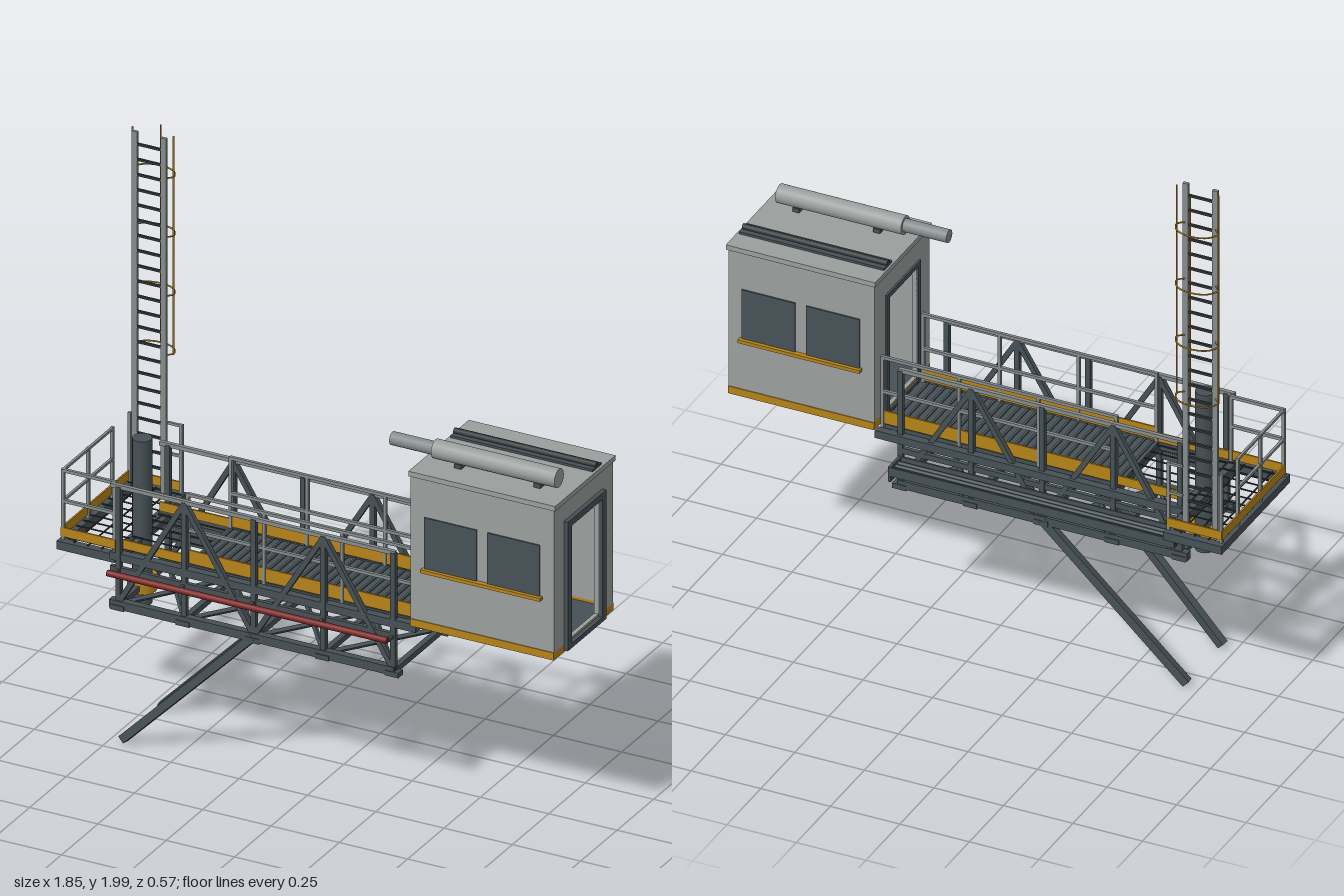
import * as THREE from 'three';

const mat = (name, color) => {
  const m = new THREE.MeshStandardMaterial({ color });
  m.name = name;
  return m;
};

export function createModel() {
  const root = new THREE.Group();
  root.name = 'accessGantry';
  const steel = mat('dark steel', 0x465055);
  const grey = mat('cabin grey', 0x9a9f9d);
  const railGrey = mat('galvanised rail', 0x858b8c);
  const yellow = mat('safety yellow', 0xb58318);
  const red = mat('pipe red', 0x7a2424);
  const glass = mat('window slate', 0x475157);
  const black = mat('rung black', 0x30363a);

  const group = (name) => {
    const g = new THREE.Group();
    g.name = name;
    root.add(g);
    return g;
  };
  const add = (parent, name, geo, m) => {
    const mesh = new THREE.Mesh(geo, m);
    mesh.name = name;
    parent.add(mesh);
    return mesh;
  };
  // Box given by its extents
  const box = (p, name, m, x0, x1, y0, y1, z0, z1) => {
    const b = add(p, name, new THREE.BoxGeometry(x1 - x0, y1 - y0, z1 - z0), m);
    b.position.set((x0 + x1) / 2, (y0 + y1) / 2, (z0 + z1) / 2);
    return b;
  };
  // Square or round bar between two points
  const bar = (p, name, m, a, b, w, round = false) => {
    const A = new THREE.Vector3(...a), B = new THREE.Vector3(...b), len = A.distanceTo(B);
    const geo = round ? new THREE.CylinderGeometry(w / 2, w / 2, len, 16) : new THREE.BoxGeometry(w, len, w);
    const mesh = add(p, name, geo, m);
    mesh.position.copy(A).add(B).multiplyScalar(0.5);
    mesh.quaternion.setFromUnitVectors(new THREE.Vector3(0, 1, 0), B.sub(A).normalize());
    return mesh;
  };

  // Cabin shell: end walls with door openings, side walls, floor and roof
  const cabin = group('cabin');
  const frameShape = (z0, z1, y0, y1, h) => {
    const s = new THREE.Shape([[z0, y0], [z1, y0], [z1, y1], [z0, y1]].map((q) => new THREE.Vector2(...q)));
    s.holes.push(new THREE.Path([[h[0], h[2]], [h[0], h[3]], [h[1], h[3]], [h[1], h[2]]].map((q) => new THREE.Vector2(...q))));
    return s;
  };
  const endPlate = (name, m, shape, x, depth) => {
    const e = add(cabin, name, new THREE.ExtrudeGeometry(shape, { depth, bevelEnabled: false }), m);
    e.rotation.y = -Math.PI / 2; // shape x becomes world z
    e.position.x = x + depth;
  };
  const opening = [-0.04, 0.168, 0.742, 1.168];
  endPlate('rightEndWall', grey, frameShape(-0.14, 0.265, 0.745, 1.27, opening.with(2, 0.75)), 0.385, 0.015);
  endPlate('leftEndWall', grey, frameShape(-0.14, 0.265, 0.745, 1.27, opening.with(2, 0.75)), 0.895, 0.015);
  endPlate('leftDoorFrame', steel, frameShape(-0.068, 0.197, 0.725, 1.192, opening), 0.91, 0.015);
  endPlate('rightDoorFrame', steel, frameShape(-0.06, 0.188, 0.73, 1.185, opening), 0.378, 0.008);
  box(cabin, 'floor', steel, 0.386, 0.909, 0.718, 0.735, -0.139, 0.264);
  box(cabin, 'roof', grey, 0.38, 0.917, 1.262, 1.28, -0.145, 0.27);
  for (const [side, z, out] of [['front', 0.265, 1], ['back', -0.14, -1]]) {
    const span = (d0, d1) => [z + out * d0, z + out * d1].sort((a, b) => a - b);
    box(cabin, side + 'Wall', grey, 0.385, 0.91, 0.745, 1.265, ...span(-0.015, 0));
    box(cabin, side + 'BaseBand', yellow, 0.385, 0.91, 0.72, 0.747, ...span(-0.015, 0.003));
    box(cabin, side + 'Sill', yellow, 0.43, 0.868, 0.929, 0.941, ...span(0, 0.018));
    for (const x of [0.437, 0.668])
      box(cabin, side + 'Window', glass, x, x + 0.192, 0.94, 1.125, ...span(0, 0.005));
  }
  for (const [x, n] of [[0.385, 'right'], [0.895, 'left']])
    box(cabin, n + 'Threshold', yellow, x, x + 0.015, 0.72, 0.747, -0.14, 0.265);

  // Roof equipment
  const roof = group('roofEquipment');
  bar(roof, 'tank', grey, [0.42, 1.322, 0.158], [0.872, 1.322, 0.158], 0.066, true);
  bar(roof, 'tankPipe', railGrey, [0.262, 1.322, 0.158], [0.42, 1.322, 0.158], 0.046, true);
  for (const x of [0.5, 0.79]) box(roof, 'tankSaddle', steel, x, x + 0.025, 1.278, 1.295, 0.135, 0.18);
  box(roof, 'roofRail', steel, 0.387, 0.908, 1.278, 1.288, -0.065, -0.005);
  bar(roof, 'roofRod', black, [0.387, 1.292, -0.035], [0.908, 1.292, -0.035], 0.022, true);

  // Side trusses
  const xs = [-0.7, -0.46, -0.205, 0.05, 0.305];
  const zSides = [0.23, -0.108];
  for (const z of zSides) {
    const t = group(z > 0 ? 'frontTruss' : 'backTruss');
    box(t, 'bottomChord', steel, -0.73, 0.312, 0.51, 0.54, z - 0.013, z + 0.013);
    box(t, 'middleChord', steel, -0.73, 0.312, 0.64, 0.66, z - 0.007, z + 0.007);
    box(t, 'topChord', railGrey, -0.73, 0.312, 0.943, 0.957, z - 0.007, z + 0.007);
    box(t, 'deckBeam', steel, -0.73, 0.39, 0.682, 0.71, z - 0.02, z + 0.008);
    xs.forEach((x, i) => {
      bar(t, 'post', steel, [x, 0.52, z], [x, 0.95, z], 0.018);
      box(t, 'gusset', steel, x - 0.025, x + 0.025, 0.507, 0.525, z - 0.016, z + 0.016);
      if (i < 4) {
        const up = i % 2 === 0;
        bar(t, 'diagonal', steel, [x, up ? 0.53 : 0.945, z], [xs[i + 1], up ? 0.945 : 0.53, z], 0.018);
      }
    });
  }
  // Cross members and bottom bracing between the trusses
  const bracing = group('bracing');
  xs.forEach((x, i) => {
    bar(bracing, 'crossBeam', steel, [x, 0.525, -0.11], [x, 0.525, 0.23], 0.02);
    bar(bracing, 'deckCrossBeam', steel, [x, 0.69, -0.11], [x, 0.69, 0.23], 0.02);
    if (i < 4) for (const s of [0, 1])
      bar(bracing, 'bottomBrace', steel, [x, 0.525, zSides[s]], [xs[i + 1], 0.525, zSides[1 - s]], 0.013);
  });

  // Walkway deck with ribs, toe boards and handrails
  const walk = group('walkway');
  box(walk, 'deckPlate', steel, -0.468, 0.39, 0.7, 0.714, -0.085, 0.205);
  for (let i = 0; i < 28; i++) {
    const x = -0.455 + i * 0.03;
    box(walk, 'deckRib', steel, x, x + 0.008, 0.714, 0.718, -0.083, 0.203);
  }
  for (let i = 0; i < 7; i++)
    bar(walk, 'gratingBar', black, [-0.72, 0.708, -0.075 + i * 0.045], [-0.465, 0.708, -0.075 + i * 0.045], 0.004);
  for (const z of [0.207, -0.088]) {
    box(walk, 'toeBoard', yellow, -0.465, 0.388, 0.72, 0.768, z - 0.003, z + 0.003);
    box(walk, 'lowToeBoard', yellow, -0.72, -0.465, 0.715, 0.748, z - 0.003, z + 0.003);
    for (const y of [0.968, 0.84]) bar(walk, 'handrail', railGrey, [-0.465, y, z], [0.385, y, z], 0.011);
    for (const x of [-0.46, -0.18, 0.105, 0.38]) bar(walk, 'railPost', railGrey, [x, 0.7, z], [x, 0.97, z], 0.011);
  }

  // End platform
  const end = group('endPlatform');
  for (const z of [0.22, -0.255]) box(end, 'sideBeam', steel, -0.927, -0.715, 0.67, 0.7, z - 0.014, z + 0.014);
  for (const x of [-0.915, -0.728]) box(end, 'endBeam', steel, x - 0.012, x + 0.012, 0.67, 0.7, -0.268, 0.233);
  for (let i = 0; i < 11; i++)
    bar(end, 'gratingBar', black, [-0.915, 0.706, -0.235 + i * 0.044], [-0.72, 0.706, -0.235 + i * 0.044], 0.004);
  for (const x of [-0.87, -0.82, -0.77]) bar(end, 'gratingTie', black, [x, 0.702, -0.25], [x, 0.702, 0.22], 0.004);
  for (const z of [0.216, -0.248]) box(end, 'toeBoard', yellow, -0.918, -0.72, 0.712, 0.745, z - 0.003, z + 0.003);
  box(end, 'endToeBoard', yellow, -0.92, -0.914, 0.712, 0.745, -0.25, 0.218);
  for (const [x, z] of [[-0.914, 0.213], [-0.725, 0.213], [-0.914, 0.04], [-0.914, -0.125], [-0.914, -0.245], [-0.725, -0.245]])
    bar(end, 'railPost', railGrey, [x, 0.69, z], [x, 0.955, z], 0.011);
  for (const y of [0.95, 0.84]) {
    bar(end, 'sideRail', railGrey, [-0.914, y, 0.213], [-0.725, y, 0.213], 0.011);
    bar(end, 'endRail', railGrey, [-0.914, y, 0.213], [-0.914, y, -0.125], 0.009);
    bar(end, 'backRail', railGrey, [-0.775, y, -0.245], [-0.725, y, -0.245], 0.009);
  }

  // Ladder with safety hoops
  const ladder = group('ladder');
  for (const x of [-0.874, -0.768]) {
    box(ladder, 'stile', railGrey, x - 0.01, x + 0.01, 0.715, 2, -0.211, -0.2);
  }
  for (let i = 0; i < 22; i++) {
    const y = 0.8 + i * 0.055;
    bar(ladder, 'rung', black, [-0.874, y, -0.205], [-0.768, y, -0.205], 0.008);
  }
  const hoopPts = [[-0.874, -0.207], [-0.896, -0.23], [-0.875, -0.268], [-0.821, -0.283], [-0.767, -0.268], [-0.746, -0.23], [-0.768, -0.207]];
  for (const y of [1.213, 1.427, 1.64, 1.853]) {
    const path = new THREE.CatmullRomCurve3(hoopPts.map(([x, z]) => new THREE.Vector3(x, y, z)));
    add(ladder, 'hoop', new THREE.TubeGeometry(path, 28, 0.003, 6), yellow);
  }
  for (const [x, z] of [hoopPts[1], hoopPts[3], hoopPts[5]])
    bar(ladder, 'cageBar', yellow, [x, 1.21, z], [x, 2, z], 0.004);

  // Pivot column with clamp
  const column = group('column');
  bar(column, 'post', steel, [-0.705, 0.455, 0.062], [-0.705, 1.05, 0.062], 0.066, true);
  bar(column, 'clamp', yellow, [-0.705, 0.505, 0.062], [-0.705, 0.555, 0.062], 0.1, true);

  // Pipe and cable tray along the sides
  const services = group('services');
  bar(services, 'redPipe', red, [-0.72, 0.65, 0.272], [0.305, 0.65, 0.272], 0.022, true);
  for (const x of xs) {
    bar(services, 'pipeBracket', steel, [x, 0.65, 0.23], [x, 0.65, 0.268], 0.01);
    bar(services, 'trayBracket', steel, [x, 0.592, -0.108], [x, 0.592, -0.19], 0.012);
  }
  box(services, 'trayBase', steel, -0.72, 0.308, 0.597, 0.604, -0.195, -0.115);
  for (const z of [-0.193, -0.117]) box(services, 'traySide', steel, -0.72, 0.308, 0.597, 0.63, z - 0.003, z + 0.003);
  for (const z of [-0.175, -0.155, -0.135]) bar(services, 'cable', steel, [-0.72, 0.613, z], [0.308, 0.613, z], 0.016, true);
  box(services, 'trayEnd', steel, 0.3, 0.31, 0.575, 0.63, -0.195, -0.115);

  // Raking support struts
  const struts = group('struts');
  bar(struts, 'frontStrut', steel, [-0.205, 0.525, 0.232], [-0.705, 0.018, 0.192], 0.028);
  bar(struts, 'backStrut', steel, [-0.205, 0.525, -0.11], [-0.705, 0.018, -0.07], 0.028);
  return root;
}
